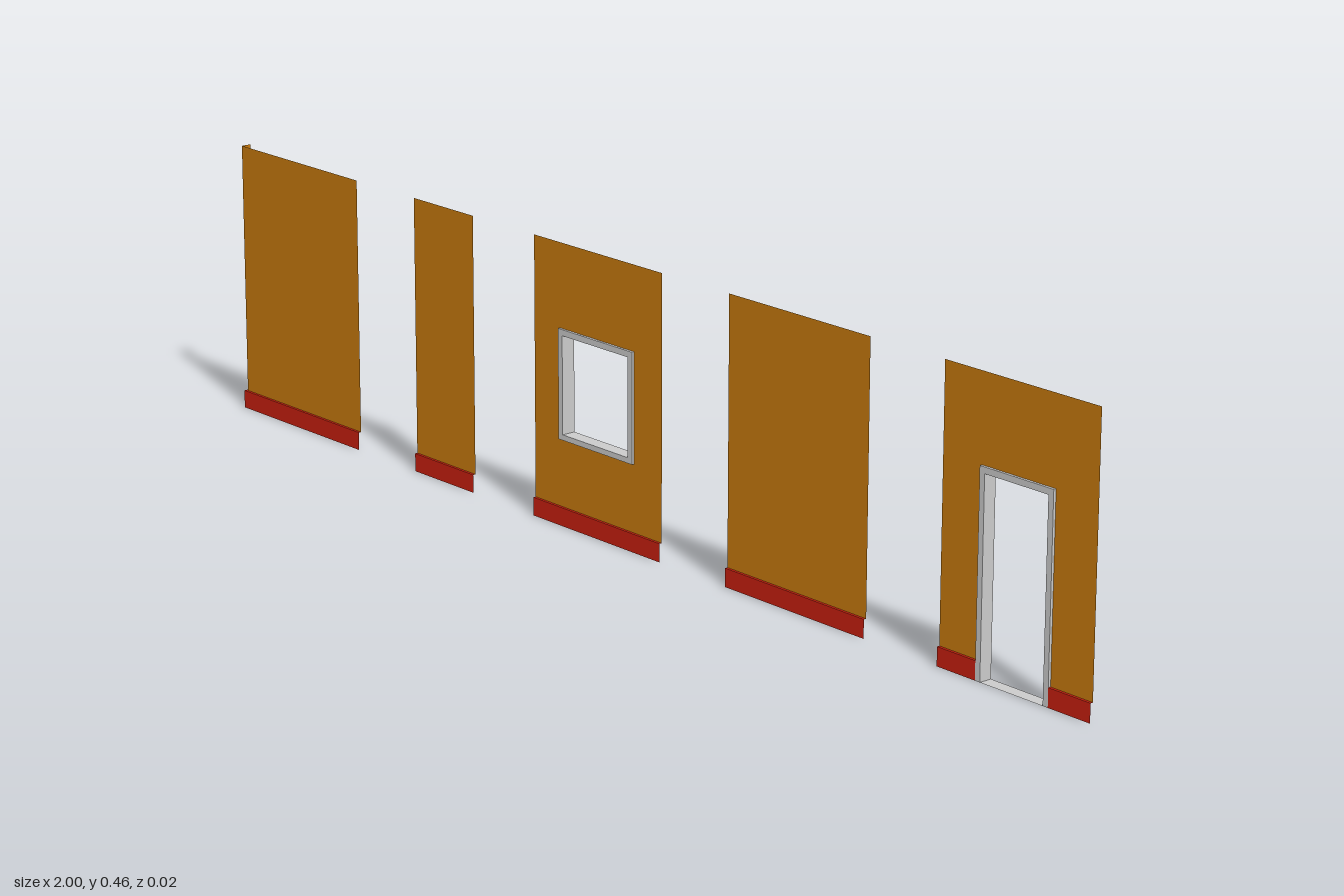
import * as THREE from 'three';

const TOP = 0.457, BASE = 0.03;      // wall top, baseboard top
const WALL_Z = 0.008, TRIM_Z = 0.0125; // wall plane, face of baseboard and trim
const BACK_Z = -0.0115;

const paint = (color) => new THREE.MeshStandardMaterial({ color, side: THREE.DoubleSide });

// Joins successive rows of points with flat quads
function strip(name, rows, material) {
  const pos = [];
  for (let i = 0; i < rows.length - 1; i++) {
    for (let j = 0; j < rows[i].length - 1; j++) {
      const a = rows[i][j], b = rows[i][j + 1], c = rows[i + 1][j + 1], d = rows[i + 1][j];
      pos.push(...a, ...d, ...c, ...a, ...c, ...b);
    }
  }
  const geometry = new THREE.BufferGeometry();
  geometry.setAttribute('position', new THREE.Float32BufferAttribute(pos, 3));
  geometry.computeVertexNormals();
  const mesh = new THREE.Mesh(geometry, material);
  mesh.name = name;
  return mesh;
}

export function createModel() {
  const model = new THREE.Group();
  model.name = 'wallSet';
  const orange = paint(0xc87a0e), red = paint(0xc8200f), grey = paint(0xcccccc);

  const part = (name, ...meshes) => {
    const group = new THREE.Group();
    group.name = name;
    group.add(...meshes);
    model.add(group);
  };
  // Lifts a plan outline of [x, z] points to height y
  const at = (plan, y) => plan.map(([x, z]) => [x, y, z]);
  const line = (x0, x1, z) => [[x0, z], [x1, z]];

  const solidWall = (plan) => strip('wall', [at(plan, TOP), at(plan, BASE)], orange);
  // Baseboard: a ledge stepping out from the wall, then a face down to the floor
  const baseboard = (plan, outer) =>
    strip('baseboard', [at(plan, BASE), at(outer, BASE), at(outer, 0)], red);
  const straightBase = (x0, x1) => baseboard(line(x0, x1, WALL_Z), line(x0, x1, TRIM_Z));

  const panel = (points, hole) => {
    const shape = new THREE.Shape(points.map((p) => new THREE.Vector2(...p)));
    if (hole) shape.holes.push(new THREE.Path(hole.map((p) => new THREE.Vector2(...p))));
    const mesh = new THREE.Mesh(new THREE.ShapeGeometry(shape), orange);
    mesh.name = 'wall';
    mesh.position.z = WALL_Z;
    return mesh;
  };
  // Frame: trim edge, trim face, then the jamb running back through the opening
  const frame = (name, outer, inner, backZ) => {
    const row = (pts, z) => pts.map(([x, y]) => [x, y, z]);
    return strip(name, [row(outer, WALL_Z), row(outer, TRIM_Z), row(inner, TRIM_Z), row(inner, backZ)], grey);
  };

  // Corner wall with a short return going back
  const corner = [[-0.996, -0.0095], [-0.996, WALL_Z], [-0.677, WALL_Z]];
  const cornerOut = [[-1, -0.0095], [-1, TRIM_Z], [-0.677, TRIM_Z]];
  part('cornerWall', solidWall(corner), baseboard(corner, cornerOut));

  // Plain walls
  for (const [name, x0, x1] of [['narrowWall', -0.525, -0.373], ['plainWall', 0.237, 0.542]]) {
    part(name, solidWall(line(x0, x1, WALL_Z)), straightBase(x0, x1));
  }

  // Window wall
  const rect = (x0, x1, y0, y1) => [[x0, y0], [x0, y1], [x1, y1], [x1, y0]];
  const winOuter = rect(-0.157, 0.02, 0.141, 0.32), winInner = rect(-0.147, 0.01, 0.15, 0.31);
  const closed = (loop) => [...loop, loop[0]];
  part('windowWall',
    panel(rect(-0.22, 0.085, BASE, TOP), winOuter),
    straightBase(-0.22, 0.085),
    frame('windowFrame', closed(winOuter), closed(winInner), BACK_Z));

  // Door wall
  const L = 0.695, R = 1;
  const doorOuter = rect(0.773, 0.918, 0, 0.32), doorInner = rect(0.783, 0.908, 0, 0.31);
  part('doorWall',
    panel([[L, BASE], [L, TOP], [R, TOP], [R, BASE], [0.918, BASE], [0.918, 0.32], [0.773, 0.32], [0.773, BASE]]),
    straightBase(L, 0.773),
    straightBase(0.918, R),
    frame('doorFrame', doorOuter, doorInner, -0.0095),
    strip('threshold', [at(line(0.783, 0.908, -0.0095), 0), at(line(0.783, 0.908, TRIM_Z), 0)], grey));

  return model;
}
